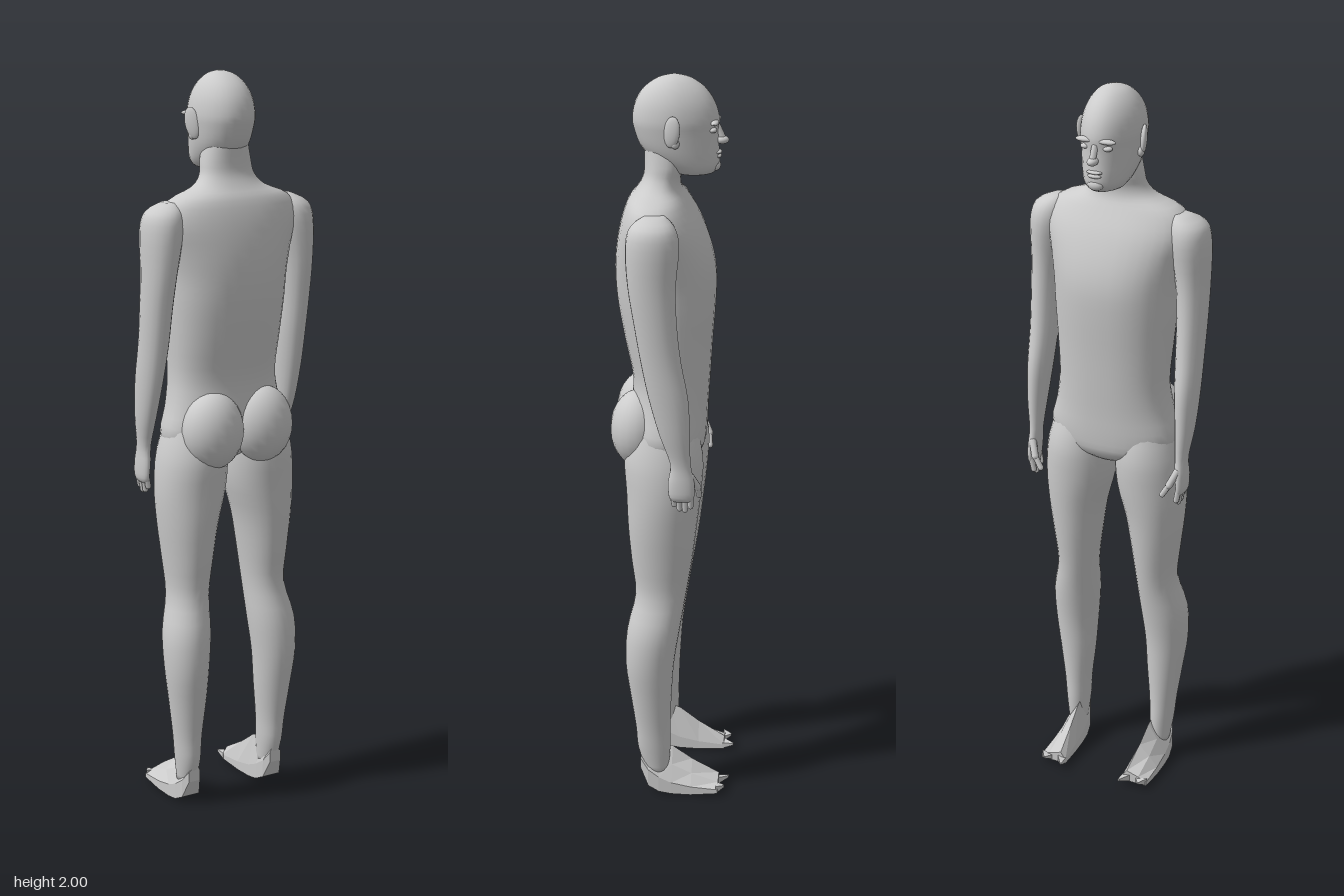
import * as THREE from 'three';

const skin = new THREE.MeshStandardMaterial({ color: 0xcccccc });
skin.name = 'paleGrey';

// Skin a closed surface over equal-length loops of [x, y, z] points
function skinLoops(loops, flat = false) {
  const n = loops[0].length, pos = [], idx = [];
  loops.forEach(l => l.forEach(p => pos.push(...p)));
  const centre = l => [0, 1, 2].map(k => l.reduce((s, p) => s + p[k], 0) / n);
  const top = loops.length * n, bottom = top + 1, last = (loops.length - 1) * n;
  pos.push(...centre(loops[0]), ...centre(loops[loops.length - 1]));
  for (let j = 0; j < n; j++) {
    const k = (j + 1) % n;
    for (let i = 0; i < loops.length - 1; i++) {
      const a = i * n + j, b = i * n + k;
      idx.push(a, b, a + n, b, b + n, a + n);
    }
    idx.push(top, k, j, bottom, last + j, last + k);
  }
  let g = new THREE.BufferGeometry();
  g.setAttribute('position', new THREE.Float32BufferAttribute(pos, 3));
  g.setIndex(idx);
  if (flat) g = g.toNonIndexed();
  g.computeVertexNormals();
  return g;
}

// Smooth body form from rows [y, centreX, halfWidth, zFront, zBack], top to bottom
function bodyForm(rows, { power = 2, taper = 0, sides = 28, steps = 3 } = {}) {
  const at = i => rows[Math.min(Math.max(i, 0), rows.length - 1)];
  const loops = [];
  for (let s = 0; s <= (rows.length - 1) * steps; s++) {
    const i = Math.floor(s / steps), t = s / steps - i;
    const [y, cx, rx, zf, zb] = rows[0].map((_, k) => {
      const p = [-1, 0, 1, 2].map(d => at(i + d)[k]);
      const m0 = (p[2] - p[0]) / 2, m1 = (p[3] - p[1]) / 2, d = p[1] - p[2];
      return p[1] + t * (m0 + t * (-3 * d - 2 * m0 - m1 + t * (2 * d + m0 + m1)));
    });
    const round = v => Math.sign(v) * Math.abs(v) ** (2 / power);
    loops.push(Array.from({ length: sides }, (_, j) => {
      const a = j / sides * Math.PI * 2, c = round(Math.cos(a)), z = round(Math.sin(a));
      return [cx + rx * c * (1 - taper * Math.max(0, -z)), y, (zf + zb) / 2 + (zb - zf) / 2 * z];
    }));
  }
  return skinLoops(loops);
}

function add(parent, name, geometry, position = [0, 0, 0], scale = [1, 1, 1]) {
  const m = new THREE.Mesh(geometry, skin);
  m.name = name;
  m.position.set(...position);
  m.scale.set(...scale);
  parent.add(m);
  return m;
}

const ball = new THREE.SphereGeometry(1, 20, 14);

// Rounded rod between two points
function rod(parent, name, from, to, radius) {
  const a = new THREE.Vector3(...from), b = new THREE.Vector3(...to), d = b.clone().sub(a);
  const m = add(parent, name, new THREE.CapsuleGeometry(radius, d.length(), 4, 8));
  m.position.copy(a).add(b).multiplyScalar(0.5);
  m.quaternion.setFromUnitVectors(new THREE.Vector3(0, 1, 0), d.normalize());
}

function makeHead() {
  const head = new THREE.Group();
  head.name = 'head';
  add(head, 'skull', bodyForm([
    [2.0, 0, 0.008, -0.01, 0.01], [1.99, 0, 0.036, -0.045, 0.045], [1.965, 0, 0.06, -0.08, 0.08],
    [1.93, 0, 0.076, -0.104, 0.102], [1.89, 0, 0.082, -0.115, 0.11], [1.86, 0, 0.08, -0.113, 0.105],
    [1.82, 0, 0.075, -0.114, 0.09], [1.79, 0, 0.068, -0.116, 0.065], [1.765, 0, 0.058, -0.114, 0.03],
    [1.748, 0, 0.042, -0.1, 0.0], [1.742, 0, 0.015, -0.08, -0.03],
  ], { power: 2.15, taper: 0.2 }));

  // Face faces -z
  add(head, 'noseTip', ball, [0, 1.833, -0.122], [0.014, 0.011, 0.018]);
  rod(head, 'noseBridge', [0, 1.868, -0.109], [0, 1.838, -0.123], 0.009);
  add(head, 'upperLip', ball, [0, 1.802, -0.113], [0.022, 0.005, 0.009]);
  add(head, 'lowerLip', ball, [0, 1.792, -0.112], [0.019, 0.006, 0.009]);
  add(head, 'chin', ball, [0, 1.767, -0.105], [0.022, 0.015, 0.014]);
  for (const s of [-1, 1]) {
    add(head, 'brow', ball, [s * 0.03, 1.883, -0.105], [0.026, 0.007, 0.011]);
    add(head, 'eye', ball, [s * 0.031, 1.864, -0.1], [0.013, 0.007, 0.011]);
    const ear = add(head, 'ear', ball, [s * 0.084, 1.868, 0.0], [0.009, 0.042, 0.023]);
    ear.rotation.set(-0.2, s * -0.4, s * -0.15);
    add(head, 'earLobe', ball, [s * 0.08, 1.837, -0.008], [0.009, 0.013, 0.011]);
  }
  return head;
}

function makeArm() {
  const arm = new THREE.Group();
  add(arm, 'armAndPalm', bodyForm([
    [1.674, 0.175, 0.02, 0.01, 0.06], [1.65, 0.192, 0.048, -0.018, 0.095],
    [1.6, 0.2, 0.054, -0.03, 0.108], [1.5, 0.209, 0.044, -0.022, 0.102],
    [1.4, 0.213, 0.039, -0.025, 0.086], [1.3, 0.214, 0.036, -0.036, 0.069],
    [1.2, 0.217, 0.032, -0.055, 0.048], [1.1, 0.219, 0.025, -0.06, 0.02],
    [1.02, 0.217, 0.017, -0.062, -0.008], [0.97, 0.22, 0.016, -0.072, -0.003],
    [0.93, 0.222, 0.013, -0.072, -0.005], [0.915, 0.22, 0.007, -0.062, -0.015],
  ], { sides: 20 }));
  for (let i = 0; i < 4; i++) {
    const z = -0.063 + i * 0.016;
    rod(arm, 'finger', [0.222, 0.94, z], [0.214, [0.9, 0.89, 0.893, 0.905][i], z * 0.9 - 0.005], 0.008);
  }
  rod(arm, 'thumbBase', [0.215, 0.985, -0.062], [0.2, 0.95, -0.079], 0.01);
  rod(arm, 'thumbTip', [0.2, 0.95, -0.079], [0.182, 0.92, -0.082], 0.008);
  return arm;
}

function makeLeg() {
  const leg = new THREE.Group();
  add(leg, 'thighAndCalf', bodyForm([
    [1.1, 0.09, 0.07, -0.06, 0.1], [1.0, 0.1, 0.093, -0.085, 0.125],
    [0.9, 0.107, 0.096, -0.081, 0.12], [0.8, 0.117, 0.08, -0.07, 0.115],
    [0.7, 0.119, 0.066, -0.058, 0.106], [0.6, 0.121, 0.056, -0.042, 0.096],
    [0.5, 0.135, 0.065, -0.026, 0.118], [0.4, 0.14, 0.06, -0.011, 0.122],
    [0.3, 0.137, 0.05, -0.004, 0.11], [0.2, 0.135, 0.038, 0, 0.096],
    [0.13, 0.133, 0.033, 0, 0.09], [0.06, 0.131, 0.026, 0.005, 0.068],
  ]));

  // Faceted foot: rows [z, sole, edge, ridge, xInner, xOuter]
  const rows = [
    [0.082, 0.07, 0.1, 0.13, 0.115, 0.15], [0.06, 0.02, 0.07, 0.13, 0.105, 0.16],
    [0.03, 0.005, 0.05, 0.135, 0.1, 0.164], [-0.005, 0, 0.035, 0.125, 0.098, 0.165],
    [-0.06, 0, 0.025, 0.085, 0.095, 0.166], [-0.135, 0.008, 0.02, 0.042, 0.09, 0.166],
  ];
  add(leg, 'foot', skinLoops(rows.map(([z, sole, edge, ridge, xi, xo]) =>
    [[xi, sole, z], [xi, edge, z], [xi + 0.015, ridge, z], [xo - 0.025, (ridge + edge) / 2, z],
      [xo, edge, z], [xo, sole, z]]), true));

  // Pointed big toe and small outer toe
  const toe = (name, x0, x1, xt, zt) => add(leg, name, skinLoops([
    [[x0, 0.008, -0.13], [x0, 0.025, -0.13], [x1, 0.03, -0.13], [x1, 0.008, -0.13]],
    [[xt, 0.02, zt], [xt, 0.026, zt], [xt + 0.004, 0.026, zt], [xt + 0.004, 0.02, zt]],
  ], true));
  toe('bigToe', 0.09, 0.118, 0.09, -0.162);
  toe('outerToe', 0.13, 0.166, 0.146, -0.153);
  return leg;
}

export function createModel() {
  const figure = new THREE.Group();
  figure.name = 'standingFigure';
  figure.add(makeHead());

  // Neck, chest, waist and hips
  add(figure, 'neckAndTorso', bodyForm([
    [1.84, 0, 0.055, -0.03, 0.08], [1.77, 0, 0.07, -0.026, 0.078], [1.735, 0, 0.077, -0.016, 0.083],
    [1.705, 0, 0.105, -0.018, 0.1], [1.675, 0, 0.175, -0.035, 0.122], [1.62, 0, 0.198, -0.068, 0.14],
    [1.55, 0, 0.183, -0.096, 0.152], [1.48, 0, 0.17, -0.11, 0.155], [1.4, 0, 0.165, -0.109, 0.148],
    [1.3, 0, 0.158, -0.102, 0.13], [1.2, 0, 0.153, -0.096, 0.11], [1.12, 0, 0.165, -0.091, 0.114],
    [1.05, 0, 0.182, -0.088, 0.115], [1.0, 0, 0.15, -0.08, 0.09], [0.97, 0, 0.05, -0.05, 0.05],
  ], { power: 2.25, sides: 36 }));

  for (const s of [1, -1]) {
    const side = s > 0 ? 'left' : 'right';
    add(figure, side + 'Buttock', ball, [s * 0.077, 1.065, 0.09], [0.086, 0.105, 0.075]);
    for (const [name, limb] of [['Arm', makeArm()], ['Leg', makeLeg()]]) {
      limb.name = side + name;
      limb.scale.x = s;
      figure.add(limb);
    }
  }
  return figure;
}
